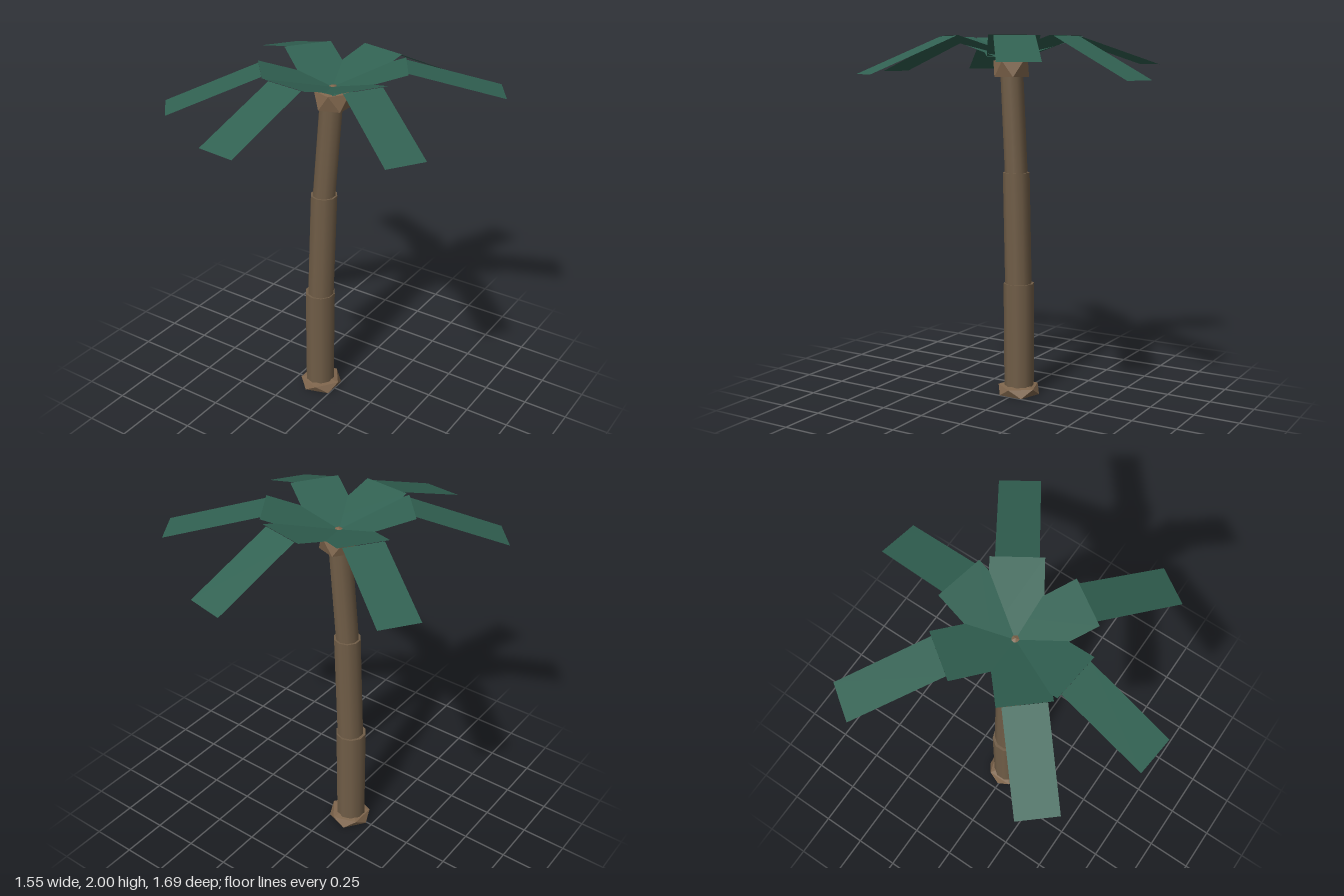
import * as THREE from 'three';

export function createModel() {
  const group = new THREE.Group();
  const bark = new THREE.MeshStandardMaterial({ name: 'bark', color: 0x705d47 });
  const husk = new THREE.MeshStandardMaterial({ name: 'husk', color: 0x7e654c, flatShading: true });
  const leaf = new THREE.MeshStandardMaterial({ name: 'leaf', color: 0x316152, flatShading: true, side: THREE.DoubleSide });

  const add = (name, geometry, material, parent = group) => {
    const mesh = new THREE.Mesh(geometry, material);
    mesh.name = name;
    parent.add(mesh);
    return mesh;
  };

  // Trunk: three stepped sections, each leaning towards +x
  const sections = [
    // y0, y1, x0, x1, r0, r1
    [0.02, 0.64, -0.105, -0.1, 0.084, 0.086],
    [0.62, 1.265, -0.096, -0.07, 0.075, 0.074],
    [1.25, 1.83, -0.071, -0.02, 0.063, 0.062],
  ];
  sections.forEach(([y0, y1, x0, x1, r0, r1], i) => {
    const h = y1 - y0;
    const geometry = new THREE.CylinderGeometry(r1, r0, h, 10);
    const p = geometry.attributes.position;
    for (let k = 0; k < p.count; k++) {
      const t = p.getY(k) / h + 0.5;
      p.setXYZ(k, p.getX(k) + x0 + (x1 - x0) * t, y0 + h * t, p.getZ(k) - 0.004);
    }
    add('trunkSection' + (i + 1), geometry, bark);
  });

  // Faceted knob: two staggered pentagons, a pointed top and a flat bottom
  function knob(r, y0, y1, apex) {
    const ring = (y, turn) => Array.from({ length: 5 }, (_, i) => {
      const a = turn + (i * Math.PI * 2) / 5;
      return [r * Math.cos(a), y, r * Math.sin(a)];
    });
    const low = ring(y0, Math.PI), high = ring(y1, Math.PI + Math.PI / 5);
    const top = [0, apex, 0], bottom = [0, y0, 0];
    const v = [];
    for (let i = 0; i < 5; i++) {
      const j = (i + 1) % 5;
      v.push(low[i], high[i], low[j], high[i], high[j], low[j]);
      v.push(high[i], top, high[j], low[i], low[j], bottom);
    }
    const geometry = new THREE.BufferGeometry();
    geometry.setAttribute('position', new THREE.Float32BufferAttribute(v.flat(), 3));
    geometry.computeVertexNormals();
    return geometry;
  }
  add('rootBase', knob(0.118, 0, 0.045, 0.065), husk).position.set(-0.098, 0, -0.006);
  add('crown', knob(0.098, 1.785, 1.87, 1.902), husk).position.set(-0.012, 0, -0.006);

  // Fronds: a wide panel rising from the crown and a narrower one drooping
  function panel(r0, y0, r1, y1, half) {
    const geometry = new THREE.PlaneGeometry(1, 1);
    const p = geometry.attributes.position;
    for (let k = 0; k < p.count; k++) {
      const t = p.getY(k) + 0.5;
      p.setXYZ(k, p.getX(k) * 2 * half, y0 + (y1 - y0) * t, -(r0 + (r1 - r0) * t));
    }
    geometry.computeVertexNormals();
    return geometry;
  }
  const fronds = [
    // direction x, direction z, bend radius, tip radius, tip height
    [0.197, -0.98, 0.375, 0.835, 1.778],
    [0.841, -0.54, 0.375, 0.87, 1.868],
    [0.838, 0.546, 0.365, 0.83, 1.805],
    [-0.108, 0.994, 0.36, 0.84, 1.81],
    [-0.754, 0.656, 0.365, 0.845, 1.82],
    [-0.813, -0.582, 0.37, 0.86, 1.85],
  ];
  fronds.forEach(([dx, dz, bend, tip, tipY], i) => {
    const frond = new THREE.Group();
    frond.name = 'frond' + (i + 1);
    frond.position.set(-0.015, 0, -0.005);
    frond.rotation.y = Math.atan2(-dx, -dz);
    add('innerLeaf', panel(0, 1.89, bend, 2, 0.131), leaf, frond);
    add('outerLeaf', panel(bend, 1.998, tip, tipY, 0.105), leaf, frond);
    group.add(frond);
  });

  return group;
}
